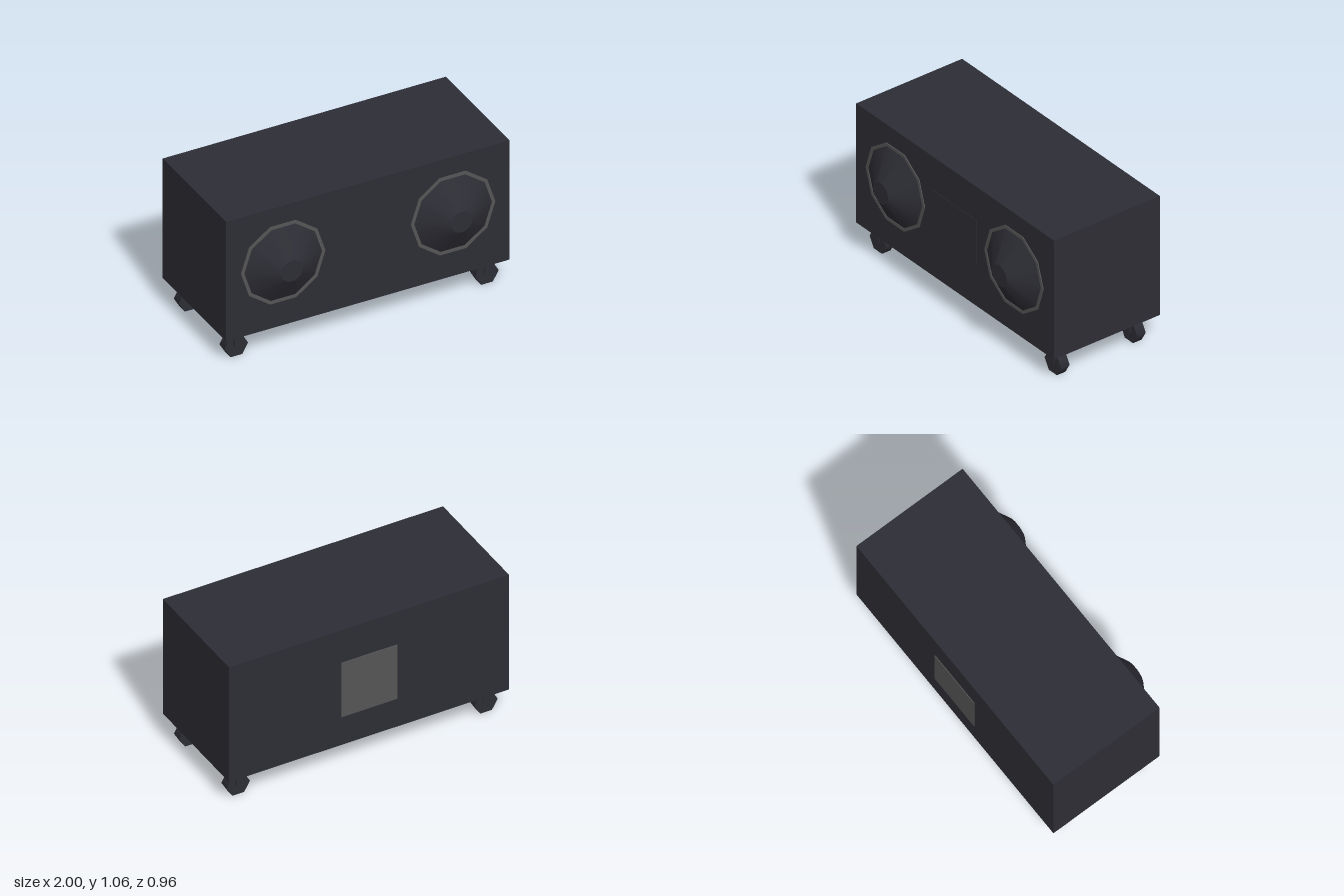
import * as THREE from 'three';

const mat = (name, color, side = THREE.FrontSide) => {
  const m = new THREE.MeshStandardMaterial({ color, side });
  m.name = name;
  return m;
};

export function createModel() {
  const model = new THREE.Group();
  model.name = 'speakerCabinet';
  const charcoal = mat('charcoal', 0x2d2d35, THREE.DoubleSide);
  const grey = mat('grey', 0x555555);

  const add = (parent, name, geometry, material, x, y, z) => {
    const mesh = new THREE.Mesh(geometry, material);
    mesh.name = name;
    mesh.position.set(x, y, z);
    parent.add(mesh);
    return mesh;
  };
  // Cylinder lying along z, with a corner pointing to +x
  const zCylinder = (front, back, depth, sides, open) =>
    new THREE.CylinderGeometry(front, back, depth, sides, 1, open, Math.PI / 2).rotateX(Math.PI / 2);
  const polygon = (Type, radius, sides) => {
    const points = [];
    for (let i = 0; i < sides; i++) {
      const a = (i / sides) * Math.PI * 2;
      points.push(new THREE.Vector2(Math.cos(a) * radius, Math.sin(a) * radius));
    }
    return new Type(points);
  };

  // Box, front panel and rear connection plate
  add(model, 'cabinet', new THREE.BoxGeometry(2, 0.88, 0.835), charcoal, 0, 0.625, -0.0575);
  add(model, 'frontPanel', new THREE.BoxGeometry(0.435, 0.335, 0.006), charcoal, 0, 0.65, 0.36);
  add(model, 'rearPlate', new THREE.BoxGeometry(0.4, 0.415, 0.009), grey, 0, 0.608, -0.4755);

  // Speakers: thin ten-sided rim, projecting cone and recessed centre cap
  const rimShape = polygon(THREE.Shape, 0.298, 10);
  rimShape.holes.push(polygon(THREE.Path, 0.275, 10));
  const rimGeometry = new THREE.ExtrudeGeometry(rimShape, { depth: 0.006, bevelEnabled: false });
  const coneGeometry = zCylinder(0.078, 0.277, 0.12, 10, true);
  const capGeometry = new THREE.CircleGeometry(0.085, 20);
  for (const side of [-1, 1]) {
    const speaker = new THREE.Group();
    speaker.name = side > 0 ? 'leftSpeaker' : 'rightSpeaker';
    speaker.position.set(side * 0.6, 0.65, 0.36);
    add(speaker, 'rim', rimGeometry, grey, 0, 0, 0);
    add(speaker, 'cone', coneGeometry, charcoal, 0, 0, 0.06);
    add(speaker, 'centreCap', capGeometry, charcoal, 0, 0, 0.09);
    model.add(speaker);
  }

  // Four castors: six-sided wheel with a narrow bracket
  const wheelGeometry = zCylinder(0.083, 0.083, 0.068, 6, false);
  const bracketGeometry = new THREE.BoxGeometry(0.038, 0.115, 0.087);
  for (const x of [-0.885, 0.885]) {
    for (const z of [0.245, -0.355]) {
      const castor = new THREE.Group();
      castor.name = (z > 0 ? 'front' : 'rear') + (x > 0 ? 'Left' : 'Right') + 'Castor';
      castor.position.set(x, 0, z);
      add(castor, 'wheel', wheelGeometry, charcoal, 0, 0.072, 0);
      add(castor, 'bracket', bracketGeometry, charcoal, 0, 0.1295, 0);
      model.add(castor);
    }
  }
  return model;
}
